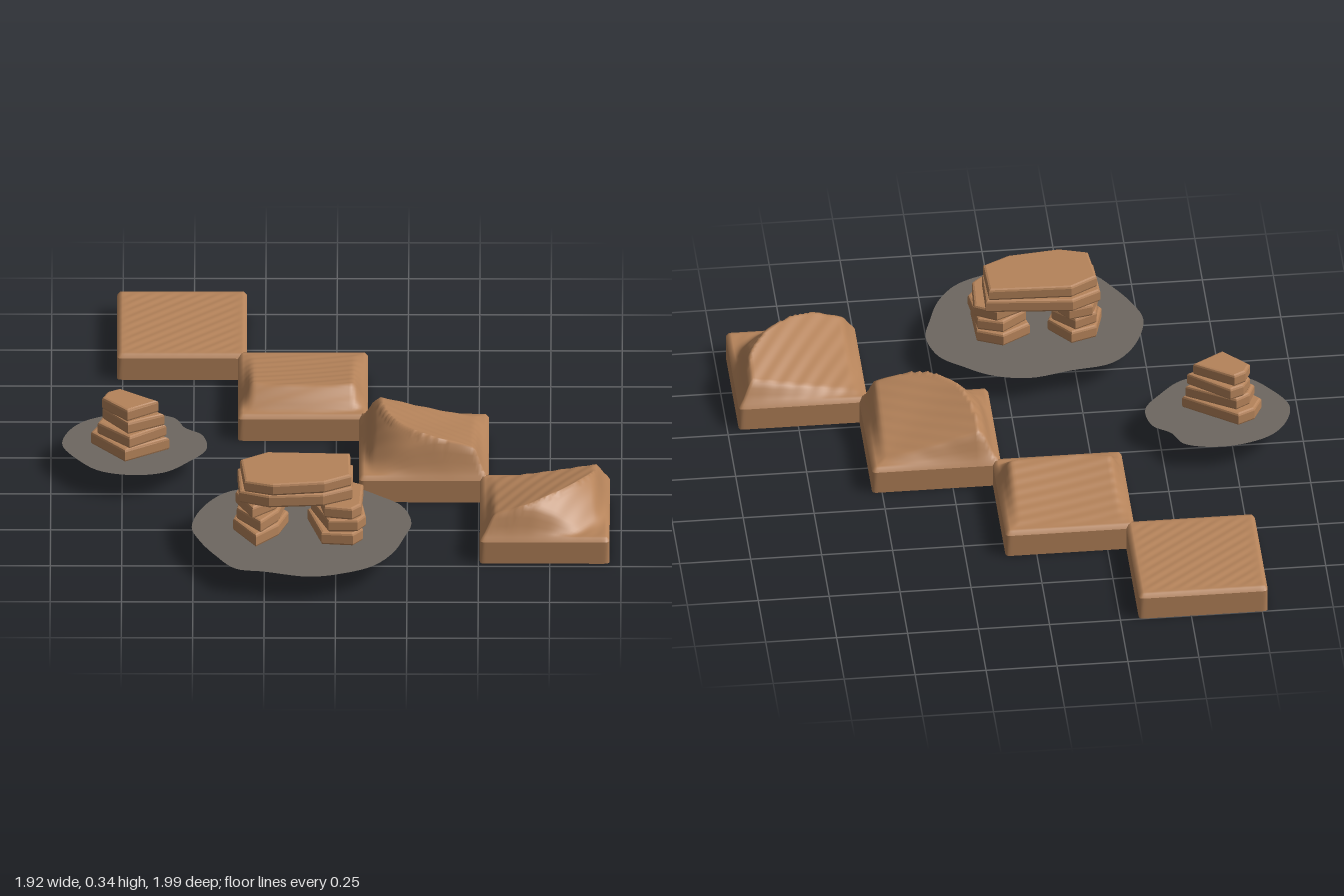
import * as THREE from 'three';

const sand = new THREE.MeshStandardMaterial({ color: 0xb5835a });
sand.name = 'sand';
const ground = new THREE.MeshStandardMaterial({ color: 0x6d6760, side: THREE.DoubleSide });
ground.name = 'darkGround';

const SIZE = 0.455, HALF = SIZE / 2, BASE = 0.1, BEVEL = 0.014;
const clamp = THREE.MathUtils.clamp, smooth = THREE.MathUtils.smoothstep;

// Dune around an arc-shaped crest: gentle inside, steep slip face outside
function arcDune(dx, dz, power, end, peak, slip) {
  const a = Math.max(dx, 0), b = Math.max(dz, 0);
  const r = Math.pow(a ** power + b ** power, 1 / power);
  const crest = end + (peak - end) * Math.sin(2 * Math.atan2(b, a));
  return crest * (r < 1 ? r ** 1.3 : 1 - smooth(r, 1 - slip * 0.2, 1 + slip));
}

// Heights above the slab, in tile coordinates
const flat = () => 0;
const lowDune = (x, z) => {
  const d = z - (0.125 - 0.5 * x * x);
  return 0.066 * (d < 0 ? clamp(1 + d / 0.34, 0, 1) ** 1.2 : clamp(1 - d / 0.085, 0, 1));
};
const cornerDune = (x, z) => arcDune((HALF - x) / 0.385, (z + HALF) / 0.415, 3, 0.08, 0.142, 0.32);
const roundDune = (x, z) => arcDune((x + HALF) / 0.435, (z + HALF) / 0.43, 2, 0.06, 0.124, 0.3);

// Square slab whose top follows a dune height rule
function makeTile(name, x0, z0, dune, rippleX, rippleZ) {
  const geo = new THREE.BoxGeometry(SIZE, BASE, SIZE, 48, 1, 48);
  const p = geo.attributes.position;
  for (let i = 0; i < p.count; i++) {
    let x = p.getX(i), z = p.getZ(i);
    if (p.getY(i) > 0) {
      const d = Math.max(HALF - Math.max(Math.abs(x), Math.abs(z)), 0);
      const k = 1 - Math.min(d / BEVEL, 1);
      const inside = smooth(d, 0.004, 0.055);
      const ripple = 0.0012 * Math.sin(x * rippleX + z * rippleZ);
      p.setY(i, BASE / 2 + (dune(x, z) + ripple) * inside - BEVEL * (1 - Math.sqrt(1 - k * k)));
    }
    // round the upright corners
    const inner = HALF - BEVEL;
    const cx = Math.abs(x) - inner, cz = Math.abs(z) - inner;
    if (cx > 0 && cz > 0) {
      const s = Math.max(cx, cz) / Math.hypot(cx, cz);
      x = Math.sign(x) * (inner + cx * s);
      z = Math.sign(z) * (inner + cz * s);
    }
    p.setX(i, x);
    p.setZ(i, z);
  }
  geo.computeVertexNormals();
  const mesh = new THREE.Mesh(geo, sand);
  mesh.name = name;
  mesh.position.set(x0, BASE / 2, z0);
  return mesh;
}

// Flat irregular patch of ground
function makePatch(name, pts) {
  const curve = new THREE.CatmullRomCurve3(pts.map(([x, z]) => new THREE.Vector3(x, -z, 0)), true);
  const shape = new THREE.Shape(curve.getPoints(90).slice(0, -1).map(v => new THREE.Vector2(v.x, v.y)));
  const geo = new THREE.ShapeGeometry(shape);
  geo.rotateX(-Math.PI / 2);
  const mesh = new THREE.Mesh(geo, ground);
  mesh.name = name;
  mesh.position.y = BASE;
  return mesh;
}

// Bevelled stone slab from a plan outline between two heights
function makeSlab(name, outline, y0, y1, scale = 1, turn = 0, sx = 0, sz = 0) {
  const n = outline.length;
  const cx = outline.reduce((s, q) => s + q[0], 0) / n;
  const cz = outline.reduce((s, q) => s + q[1], 0) / n;
  const shape = new THREE.Shape(outline.map(([x, z]) => new THREE.Vector2((x - cx) * scale, (cz - z) * scale)));
  const b = 0.009;
  const geo = new THREE.ExtrudeGeometry(shape, {
    depth: y1 - y0 - 2 * b, bevelEnabled: true, bevelThickness: b, bevelSize: b, bevelOffset: -b, bevelSegments: 2,
  });
  geo.rotateX(-Math.PI / 2);
  const mesh = new THREE.Mesh(geo, sand);
  mesh.name = name;
  mesh.rotation.y = turn;
  mesh.position.set(cx + sx, y0 + b, cz + sz);
  return mesh;
}

// Pile of slabs, each layer [scale, turn, shiftX, shiftZ]
function makeStack(name, outline, layers) {
  const g = new THREE.Group();
  g.name = name;
  layers.forEach((l, i) => g.add(makeSlab(name + 'Slab', outline, i ? BASE + i * 0.048 : BASE - 0.002, BASE + (i + 1) * 0.048, ...l)));
  return g;
}

export function createModel() {
  const model = new THREE.Group();
  model.name = 'desertTerrain';

  // Diagonal row of sand tiles
  model.add(
    makeTile('flatSandTile', -0.543, -0.772, flat, 105, 130),
    makeTile('lowDuneTile', -0.118, -0.349, lowDune, 30, 130),
    makeTile('cornerDuneTile', 0.307, 0.077, cornerDune, 60, -110),
    makeTile('roundDuneTile', 0.732, 0.503, roundDune, 100, 60),
  );

  // Small patch with the stone pile
  model.add(makePatch('smallPatch', [
    [-0.71, -0.14], [-0.57, -0.11], [-0.53, -0.04], [-0.47, 0.01], [-0.455, 0.11], [-0.52, 0.2], [-0.6, 0.27],
    [-0.71, 0.29], [-0.83, 0.26], [-0.9, 0.19], [-0.96, 0.08], [-0.93, -0.03], [-0.86, -0.1]]));
  model.add(makeStack('stonePile',
    [[-0.86, 0.07], [-0.83, 0.01], [-0.77, -0.02], [-0.585, 0.11], [-0.74, 0.2]],
    [[1, 0, 0, 0], [0.87, 0.08, 0.01, 0.01], [0.8, -0.06, 0.02, 0], [0.72, 0.03, 0.01, 0.005]]));

  // Large patch with the stone arch
  model.add(makePatch('largePatch', [
    [-0.07, 0.34], [0.06, 0.37], [0.15, 0.43], [0.23, 0.5], [0.265, 0.62], [0.24, 0.72], [0.2, 0.83], [0.13, 0.92],
    [0.03, 0.97], [-0.09, 0.995], [-0.25, 0.96], [-0.35, 0.94], [-0.42, 0.85], [-0.475, 0.75], [-0.505, 0.65],
    [-0.46, 0.5], [-0.37, 0.4], [-0.22, 0.37]]));
  const arch = new THREE.Group();
  arch.name = 'stoneArch';
  arch.add(makeStack('archLeftPillar',
    [[-0.1, 0.6], [0.0, 0.54], [0.09, 0.58], [0.095, 0.74], [0.06, 0.78], [-0.05, 0.77]],
    [[1, 0, 0, 0], [0.93, 0.1, 0.01, 0], [0.88, -0.08, 0.01, 0]]));
  arch.add(makeStack('archRightPillar',
    [[-0.36, 0.67], [-0.33, 0.56], [-0.24, 0.53], [-0.165, 0.62], [-0.2, 0.71], [-0.28, 0.79]],
    [[1, 0, 0, 0], [0.9, 0.12, 0, 0], [0.9, -0.1, 0, -0.01]]));
  const lintel = [[-0.335, 0.59], [-0.24, 0.535], [0.05, 0.545], [0.055, 0.7], [-0.04, 0.75], [-0.22, 0.77], [-0.32, 0.74]];
  arch.add(makeSlab('archLowerLintel', lintel, 0.244, 0.294, 1.05, -0.05, -0.005, -0.005));
  arch.add(makeSlab('archUpperLintel', lintel, 0.294, 0.341));
  model.add(arch);

  return model;
}
